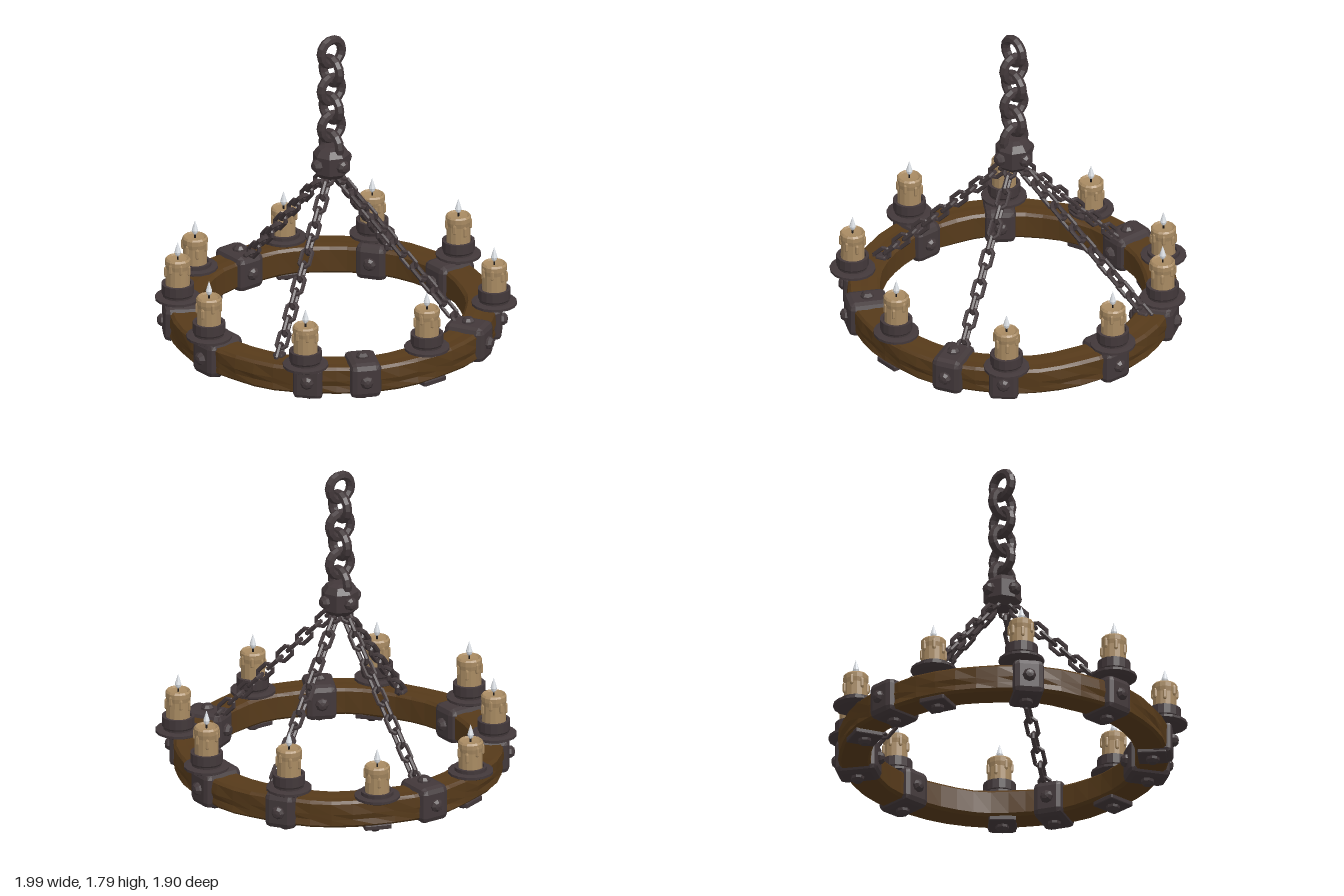
import * as THREE from 'three';
import { RoundedBoxGeometry } from 'three/addons/geometries/RoundedBoxGeometry.js';

const mat = (name, color) => Object.assign(new THREE.MeshStandardMaterial({ color }), { name });

// Faceted normals for the low-poly look
function flat(geo) {
  const g = geo.index ? geo.toNonIndexed() : geo;
  g.computeVertexNormals();
  return g;
}

export function createModel() {
  const iron = mat('dark iron', 0x42383a);
  const wood = mat('brown wood', 0x563a1a);
  const wax = mat('candle wax', 0xa88a62);
  const flameMat = mat('pale flame', 0xdfe3e8);
  const wickMat = mat('black wick', 0x1c1818);

  const root = new THREE.Group();
  root.name = 'chandelier';
  root.position.z = -0.01;

  const add = (parent, name, geo, material, x = 0, y = 0, z = 0) => {
    const m = new THREE.Mesh(geo, material);
    m.name = name;
    m.position.set(x, y, z);
    parent.add(m);
    return m;
  };
  const lathe = (pts, n) => flat(new THREE.LatheGeometry(pts.map(p => new THREE.Vector2(...p)), n));

  // Wooden ring: bevelled rectangular section with slightly hewn faces
  const ringGeo = new THREE.LatheGeometry([
    [0.725, 0.085], [0.74, 0.07], [0.885, 0.07], [0.9, 0.085], [0.896, 0.118], [0.902, 0.15],
    [0.9, 0.21], [0.885, 0.225], [0.83, 0.222], [0.79, 0.226], [0.74, 0.225], [0.725, 0.21], [0.725, 0.085],
  ].map(p => new THREE.Vector2(...p)), 48);
  const rp = ringGeo.attributes.position;
  for (let i = 0; i < rp.count; i++) {
    const a = Math.atan2(rp.getZ(i), rp.getX(i)), y = rp.getY(i);
    const k = 1 + 0.004 * Math.sin(a * 13 + y * 60);
    rp.setXYZ(i, rp.getX(i) * k, y + 0.003 * Math.sin(a * 9), rp.getZ(i) * k);
  }
  add(root, 'woodenRing', flat(ringGeo), wood);

  // Rivet along +y with its base at the origin
  const rivetGeo = lathe([[0.038, 0], [0.036, 0.018], [0.022, 0.034], [0, 0.038]].reverse().map(([r, y]) => [r, y]).reverse(), 8);
  const rivet = (parent, x, y, z, rx = 0, rz = 0) => {
    add(parent, 'rivet', rivetGeo, iron, x, y, z).rotation.set(rx, 0, rz);
  };

  // Holder whose local +x points outward from the ring centre
  const spoke = (name, x, z) => {
    const g = new THREE.Group();
    g.name = name;
    g.rotation.y = -Math.atan2(z, x);
    root.add(g);
    return g;
  };
  const block = (w, h, d) => flat(new RoundedBoxGeometry(w, h, d, 1, Math.min(w, h, d) * 0.2));
  const clampGeo = block(0.235, 0.205, 0.175);
  const outerGeo = block(0.12, 0.185, 0.16);
  const plateGeo = block(0.16, 0.03, 0.15);

  // Iron clamps wrapped round the ring
  const clamp = (x, z, topRivet) => {
    const g = spoke('ringClamp', x, z);
    add(g, 'clampBody', clampGeo, iron, 0.811, 0.15, 0);
    rivet(g, 0.922, 0.15, 0, 0, -Math.PI / 2);
    rivet(g, 0.7, 0.15, 0, 0, Math.PI / 2);
    rivet(g, 0.815, 0.05, 0, Math.PI);
    if (topRivet) rivet(g, 0.81, 0.245, 0);
  };
  clamp(0, -0.82, true);
  for (const s of [-1, 1]) {
    clamp(s * 0.37, 0.72, true);
    clamp(s * 0.87, 0.01, false);
    clamp(s * 0.69, -0.47, false);
    // Half clamp on the outer face only
    const h = spoke('halfClamp', s * 0.66, 0.605);
    add(h, 'outerPlate', outerGeo, iron, 0.865, 0.142, 0);
    rivet(h, 0.92, 0.15, 0, 0, -Math.PI / 2);
  }

  // Candle pieces
  const dishGeo = lathe([[0, 0], [0.1, 0], [0.125, 0.012], [0.125, 0.026], [0.1, 0.03], [0, 0.03]], 16);
  const cupGeo = lathe([[0.08, 0], [0.083, 0.04], [0.09, 0.05], [0.09, 0.105], [0.074, 0.105], [0.07, 0.08], [0, 0.08]], 16);
  const lowCupGeo = lathe([[0.084, 0], [0.09, 0.01], [0.09, 0.05], [0.074, 0.05], [0.07, 0.035], [0, 0.035]], 16);
  const waxGeo = lathe([[0.066, 0], [0.065, 0.1], [0.07, 0.125], [0.07, 0.15], [0.062, 0.16], [0.05, 0.152], [0, 0.148]], 14);
  const flameGeo = lathe([[0, 0], [0.014, 0.015], [0.018, 0.03], [0.011, 0.055], [0, 0.09]], 8);
  const wickGeo = flat(new THREE.CylinderGeometry(0.005, 0.005, 0.03, 6));
  const dripGeo = flat(new THREE.CapsuleGeometry(0.011, 0.04, 2, 6));

  // Candle: dish, cup, wax, drips, wick and flame
  const candle = (x, z, y, low) => {
    const g = new THREE.Group();
    g.name = 'candleHolder';
    g.position.set(x, y, z + 0.01);
    root.add(g);
    add(g, 'dripDish', dishGeo, iron);
    add(g, 'cup', low ? lowCupGeo : cupGeo, iron);
    const top = low ? 0.04 : 0.095;
    add(g, 'candle', waxGeo, wax, 0, top, 0);
    for (let i = 0; i < 7; i++) {
      const a = i * 0.9 + x * 5;
      add(g, 'waxDrip', dripGeo, wax, 0.065 * Math.cos(a), top + 0.11 - 0.017 * ((i * 2) % 3), 0.065 * Math.sin(a));
    }
    add(g, 'wick', wickGeo, wickMat, 0, top + 0.16, 0);
    add(g, 'flame', flameGeo, flameMat, 0, top + 0.163, 0);
  };
  const basePlate = (x, z) => {
    const g = spoke('basePlate', x, z);
    add(g, 'plate', plateGeo, iron, 0.815, 0.062, 0);
    rivet(g, 0.815, 0.05, 0, Math.PI);
  };
  candle(0, 0.81, 0.222, false);
  basePlate(0, 0.82);
  for (const s of [-1, 1]) {
    candle(s * 0.31, -0.82, 0.222, true);
    basePlate(s * 0.31, -0.81);
    candle(s * 0.66, 0.575, 0.222, false);
    basePlate(s * 0.66, 0.605);
    candle(s * 0.68, -0.51, 0.25, false);
    candle(s * 0.872, 0, 0.25, false);
  }

  // Central hub with rivets round its waist
  const hub = new THREE.Group();
  hub.name = 'hub';
  hub.position.set(0, 1.06, -0.01);
  root.add(hub);
  add(hub, 'hubBody', lathe([[0, -0.095], [0.06, -0.09], [0.102, -0.05], [0.102, 0.05], [0.075, 0.085], [0.04, 0.095], [0, 0.095]], 8), iron);
  for (let i = 0; i < 4; i++) {
    const arm = new THREE.Group();
    arm.name = 'hubRivet';
    arm.rotation.y = i * Math.PI / 2;
    hub.add(arm);
    rivet(arm, 0.092, 0, 0, 0, -Math.PI / 2);
  }

  // Hanging chain of round rings, alternately turned
  const hangGeo = flat(new THREE.TorusGeometry(0.071, 0.026, 7, 14));
  for (let i = 0; i < 6; i++) {
    add(root, 'hangingRing', hangGeo, iron, 0, 1.712 - i * 0.111, -0.01).rotation.y = i * Math.PI / 2;
  }

  // Oval link: a ring pulled apart into two halves
  const linkGeo = new THREE.TorusGeometry(0.031, 0.0125, 6, 8).rotateZ(Math.PI / 8);
  const lp = linkGeo.attributes.position;
  for (let i = 0; i < lp.count; i++) lp.setY(i, lp.getY(i) + Math.sign(lp.getY(i)) * 0.023);
  const link = flat(linkGeo);

  // Four support chains from hub to ring
  for (const [x, z] of [[0, -0.74], [0.69, -0.36], [-0.67, 0.37], [0.36, 0.65]]) {
    const chain = new THREE.Group();
    chain.name = 'supportChain';
    root.add(chain);
    const end = new THREE.Vector3(x, 0.235, z);
    const flatDir = new THREE.Vector3(x, 0, z).normalize();
    const start = new THREE.Vector3(0, 0.985, -0.01).addScaledVector(flatDir, 0.04);
    const dir = end.clone().sub(start);
    const n = Math.round(dir.length() / 0.083);
    const frame = new THREE.Matrix4();
    const up = dir.clone().normalize();
    const side = new THREE.Vector3().crossVectors(up, flatDir).normalize();
    frame.makeBasis(side, up, new THREE.Vector3().crossVectors(side, up));
    for (let i = 0; i <= n; i++) {
      const m = add(chain, 'chainLink', link, iron);
      m.position.lerpVectors(start, end, i / n);
      m.quaternion.setFromRotationMatrix(frame);
      m.rotateY(i % 2 * Math.PI / 2);
    }
    // Anchor stud on the ring
    add(chain, 'anchorStud', block(0.06, 0.05, 0.06), iron, x, 0.215, z).rotation.y = -Math.atan2(z, x);
  }

  return root;
}
